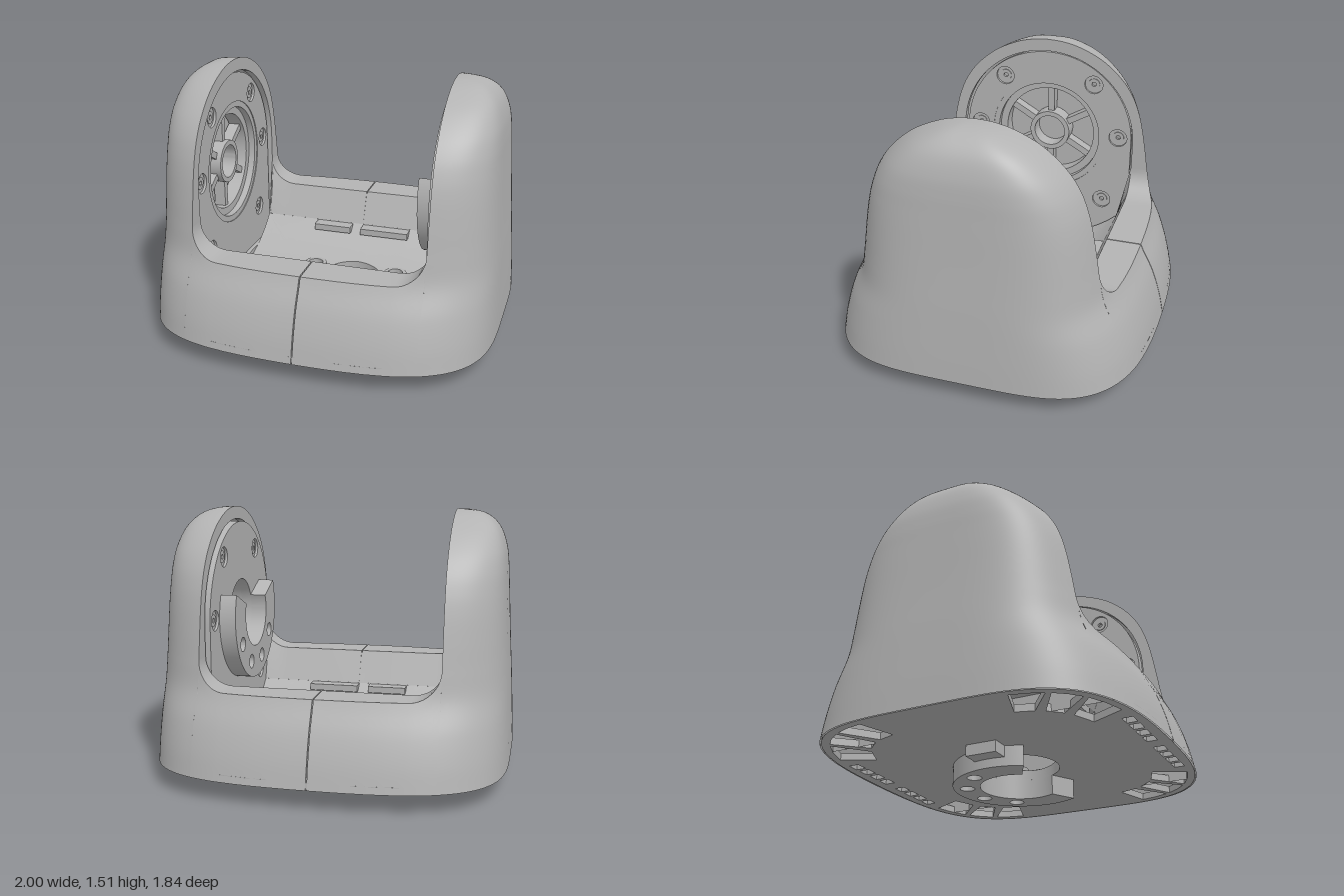
import * as THREE from 'three';
import { mergeVertices, toCreasedNormals } from 'three/addons/utils/BufferGeometryUtils.js';

const V = (x, y, z) => new THREE.Vector3(x, y, z);
const grey = new THREE.MeshStandardMaterial({ color: 0xb3b3b3, side: THREE.DoubleSide });
grey.name = 'satin grey';

const FACE = 0.66;      // inner face of each arm
const PIVOT = 0.88;     // height of the tilt axis
const BASE = 0.113;     // underside of the shell
const CORNER = 4.2;     // squareness of the outline
const BOW = 0.09;       // bulge of the front and back

function add(parent, name, geo, x = 0, y = 0, z = 0) {
  const m = new THREE.Mesh(geo, grey);
  m.name = name;
  m.position.set(x, y, z);
  parent.add(m);
  return m;
}

// Smooth sheet through rows of points
function sheet(rows, crease = 0.6) {
  const w = rows[0].length, index = [];
  for (let i = 0; i < rows.length - 1; i++)
    for (let j = 0; j < w - 1; j++) {
      const a = i * w + j, b = a + 1, c = a + w, d = c + 1;
      index.push(a, c, b, b, c, d);
    }
  const g = new THREE.BufferGeometry().setFromPoints(rows.flat());
  g.setIndex(index);
  return toCreasedNormals(g, crease);
}

// Extrusions: sideways (shape in z,y, spans x0-d..x0) and flat (shape in x,z, spans y0-d..y0)
const solid = (shape, depth) => toCreasedNormals(
  new THREE.ExtrudeGeometry(shape, { depth, bevelEnabled: false, curveSegments: 32 }), 0.6);
const sideways = (shape, d) => solid(shape, d).rotateY(-Math.PI / 2);
const flat = (shape, d) => solid(shape, d).rotateX(Math.PI / 2);

const disc = (x, y, r) => new THREE.Shape().absarc(x, y, r, 0, Math.PI * 2);
const poly = pts => new THREE.Shape(pts.map(p => new THREE.Vector2(...p)));
const rect = (x0, y0, x1, y1) => poly([[x0, y0], [x1, y0], [x1, y1], [x0, y1]]);
function cut(shape, ...holes) { shape.holes.push(...holes); return shape; }
const ring = (ro, ri) => cut(disc(0, 0, ro), disc(0, 0, ri));

// Open coupling ring with screw holes; its ends rise by angle a above the centre
function coupling(ro, ri, a) {
  const s = new THREE.Shape();
  s.absarc(0, 0, ro, Math.PI - a, Math.PI * 2 + a, false);
  s.absarc(0, 0, ri, Math.PI * 2 + a, Math.PI - a, true);
  s.closePath();
  for (const d of [210, 250, 290, 330]) {
    const t = d * Math.PI / 180;
    s.holes.push(disc(0.3 * Math.cos(t), 0.3 * Math.sin(t), 0.042));
  }
  return s;
}

// Shell profile: half width, height, half depth at the arm face
const profile = new THREE.CatmullRomCurve3([
  [1, BASE, 0.845], [0.996, 0.25, 0.816], [0.99, 0.4, 0.768], [0.983, 0.56, 0.695], [0.975, 0.7, 0.667],
  [0.967, 0.85, 0.643], [0.96, 1, 0.615], [0.955, 1.1, 0.588], [0.95, 1.2, 0.546], [0.938, 1.3, 0.476],
  [0.9, 1.41, 0.35], [0.83, 1.482, 0.2], [0.75, 1.508, 0.092], [0.662, 1.515, 0],
].map(p => V(...p)), false, 'centripetal').getPoints(90);

// Depth of the rounded outline at v = x / half width
const outline = (v, bow) => (1 - bow * v * v) * Math.pow(Math.max(0, 1 - Math.pow(v, CORNER)), 1 / CORNER);

function outerZ(x, p) {
  const bow = BOW * (1 - THREE.MathUtils.smoothstep(p.y, 0.5, 1.2));
  return p.z * outline(x / p.x, bow) / outline(FACE / p.x, bow);
}
function profileAt(y) {
  const i = Math.max(1, profile.findIndex(p => p.y >= y)), a = profile[i - 1], b = profile[i];
  return a.clone().lerp(b, (y - a.y) / (b.y - a.y));
}

// Outline of the round-topped plate on each arm
const plateShape = (r = 0.545) => {
  const s = new THREE.Shape();
  s.moveTo(-r, 0.22);
  s.lineTo(r, 0.22);
  s.absarc(0, PIVOT, r, 0, Math.PI);
  s.closePath();
  return s;
};

const floorY = z => PIVOT - Math.sqrt(0.71 * 0.71 - z * z);

// Half of the shell: one arm and half of the front and back walls
function halfShell() {
  const g = new THREE.Group();
  // arm skin
  const N = 28;
  add(g, 'armShell', sheet(profile.map(p => {
    const row = [];
    for (let j = -N; j <= N; j++) {
      const t = 1 - Math.abs(j) / N;
      const x = FACE + (p.x - FACE) * (1 - Math.pow(1 - Math.sin(t * Math.PI / 2), 1.8));
      row.push(V(x, p.y, j === 0 ? 0 : Math.sign(j) * outerZ(x, p)));
    }
    return row;
  }), 0.9));
  // inner face around the plate opening
  const bell = profile.map(p => [p.z, p.y]);
  const opening = plateShape(0.56);
  const face = cut(poly([...bell, ...bell.slice(0, -1).reverse().map(([z, y]) => [-z, y])]), opening);
  add(g, 'armInnerFace', new THREE.ShapeGeometry(face, 32).rotateY(-Math.PI / 2), FACE);
  const lip = opening.getPoints(32);
  add(g, 'armInnerLip', sheet([FACE, 0.7].map(x => lip.map(p => V(x, p.y, p.x)))));
  // walls with a seam groove in the middle and a fillet up to the arm
  const cols = [[0, 0.556, 0.012], [0.003, 0.556, 0.012], [0.003, 0.556, 0], [0.1, 0.556, 0], [0.2, 0.556, 0],
    [0.3, 0.556, 0], [0.4, 0.556, 0]];
  for (let i = 0; i <= 10; i++) {
    const a = i / 10 * Math.PI / 2;
    cols.push([0.5 + 0.16 * Math.sin(a), 0.556 + 0.16 * (1 - Math.cos(a)), 0]);
  }
  for (const s of [1, -1])
    add(g, s > 0 ? 'frontWall' : 'backWall', sheet(cols.map(([x, h, inset]) => {
      const col = [];
      for (let i = 0; i <= 12; i++) {
        const y = BASE + (h - inset - BASE) * i / 12;
        col.push(V(x, y, s * (outerZ(x, profileAt(y)) - inset)));
      }
      col.push(V(x, h - inset, s * 0.56), V(x, 0.357, s * 0.48));
      return col;
    })));
  return g;
}

// Plate with six countersunk screws; front side at x
function armPlate(g, x, depth, holeR) {
  const spots = [];
  for (const s of [1, -1])
    for (const [z, y] of [[0.29, 1.24], [0.46, 0.9], [0.37, 0.45]]) spots.push([s * z, y]);
  const plate = cut(plateShape(), disc(0, PIVOT, holeR), ...spots.map(([z, y]) => disc(z, y, 0.058)));
  add(g, 'armPlate', sideways(plate, depth), x + depth);
  for (const [z, y] of spots) {
    add(g, 'screwSeat', sideways(ring(0.06, 0.035), 0.012), x + 0.027, y, z);
    add(g, 'screw', sideways(ring(0.036, 0.014), 0.02), x + 0.03, y, z);
  }
}

// Spoked bearing recessed in the right arm
function bearing(g) {
  const b = new THREE.Group();
  b.name = 'bearing';
  b.position.set(0, PIVOT, 0);
  g.add(b);
  add(b, 'bearingRing', sideways(ring(0.375, 0.335), 0.13), 0.82);
  add(b, 'bearingStep', sideways(ring(0.34, 0.29), 0.09), 0.82);
  add(b, 'bearingHub', sideways(ring(0.13, 0.1), 0.1), 0.82);
  add(b, 'bearingBack', sideways(disc(0, 0, 0.37), 0.01), 0.84);
  for (let i = 0; i < 6; i++) {
    const spoke = add(b, 'spoke', new THREE.BoxGeometry(0.07, 0.18, 0.04).translate(0.785, 0.21, 0));
    spoke.rotation.x = i * Math.PI / 3;
  }
}

// Cut a flat shape into small triangles and bend it into the trough
function trough(shape) {
  const src = new THREE.ShapeGeometry(shape, 32).toNonIndexed().getAttribute('position');
  const out = [], P = i => V(src.getX(i), 0, src.getY(i));
  const split = t => {
    const len = [0, 1, 2].map(i => t[i].distanceTo(t[(i + 1) % 3]));
    const k = len.indexOf(Math.max(...len));
    if (len[k] < 0.08) { out.push(t[0], t[2], t[1]); return; }
    const a = t[k], b = t[(k + 1) % 3], c = t[(k + 2) % 3], m = a.clone().add(b).multiplyScalar(0.5);
    split([a, m, c]);
    split([m, b, c]);
  };
  for (let i = 0; i < src.count; i += 3) split([P(i), P(i + 1), P(i + 2)]);
  out.forEach(p => { p.y = floorY(p.z); });
  const g = mergeVertices(new THREE.BufferGeometry().setFromPoints(out));
  g.computeVertexNormals();
  return g;
}

export function createModel() {
  const model = new THREE.Group();
  model.name = 'yokeBase';
  const left = halfShell(), right = halfShell();
  left.name = 'leftHalf';
  right.name = 'rightHalf';
  right.rotation.y = Math.PI;
  model.add(left, right);
  // left arm: raised plate with drive coupling
  armPlate(left, 0.635, 0.06, 0.2);
  add(left, 'driveCoupling', sideways(coupling(0.39, 0.2, 0.4), 0.095), 0.636, PIVOT);
  add(left, 'driveSocket', sideways(ring(0.215, 0.2), 0.17), 0.83, PIVOT);
  add(left, 'driveSocketEnd', sideways(disc(0, 0, 0.21), 0.01), 0.84, PIVOT);
  // right arm: recessed plate with bearing
  armPlate(right, 0.685, 0.03, 0.37);
  bearing(right);
  // floor trough with cable bore, screw holes and window
  const holes = () => [disc(0.04, 0, 0.225), disc(-0.22, -0.15, 0.045), disc(0.3, -0.15, 0.045),
    rect(0.275, -0.09, 0.545, 0.085)];
  add(model, 'floor', trough(cut(rect(-FACE, -0.48, FACE, 0.48), ...holes())));
  for (const h of holes()) {
    const pts = h.getPoints(32);
    pts.push(pts[0].clone());
    add(model, 'floorHoleWall', sheet([pts.map(p => V(p.x, 0.14, p.y)), pts.map(p => V(p.x, floorY(p.y), p.y))]));
  }
  for (const x of [-0.22, 0.3]) add(model, 'floorScrewSeat', flat(ring(0.068, 0.045), 0.03), x, 0.205, -0.15);
  for (const z of [0.44, -0.44]) {
    add(model, 'shortPad', new THREE.BoxGeometry(0.24, 0.04, 0.08), -0.19, 0.335, z);
    add(model, 'longPad', new THREE.BoxGeometry(0.31, 0.04, 0.08), 0.155, 0.335, z);
  }
  // underside plate with ribbed corner pockets and small slots
  const rim = (deg, k) => {
    const t = deg * Math.PI / 180, c = Math.cos(t), s = Math.sin(t);
    const v = Math.pow(Math.abs(c), 2 / CORNER);
    return [k * Math.sign(c) * v, k * 0.92 * Math.sign(s) * outline(v, BOW)];
  };
  const under = poly(Array.from({ length: 120 }, (_, i) => rim(i * 3, 0.992)));
  under.holes.push(...holes());
  for (const sx of [1, -1])
    for (const sz of [1, -1]) {
      for (const [a, b] of [[15, 31], [34, 51], [54, 73]])
        under.holes.push(poly([rim(a, 0.95), rim((a + b) / 2, 0.95), rim(b, 0.95), rim(b - 2, 0.75), rim(a + 2, 0.75)]
          .map(([x, z]) => [sx * x, sz * z])));
      for (let i = 0; i < 4; i++)
        under.holes.push(rect(sx * (0.05 + i * 0.1), sz * 0.79, sx * (0.12 + i * 0.1), sz * 0.85));
    }
  add(model, 'underPlate', flat(under, 0.04), 0, BASE + 0.04);
  // mounting coupling below
  add(model, 'mountCoupling', flat(coupling(0.38, 0.225, 0.51), 0.125), 0.04, 0.125);
  add(model, 'mountTab', new THREE.BoxGeometry(0.1, 0.07, 0.18), -0.38, 0.085, 0);
  return model;
}
